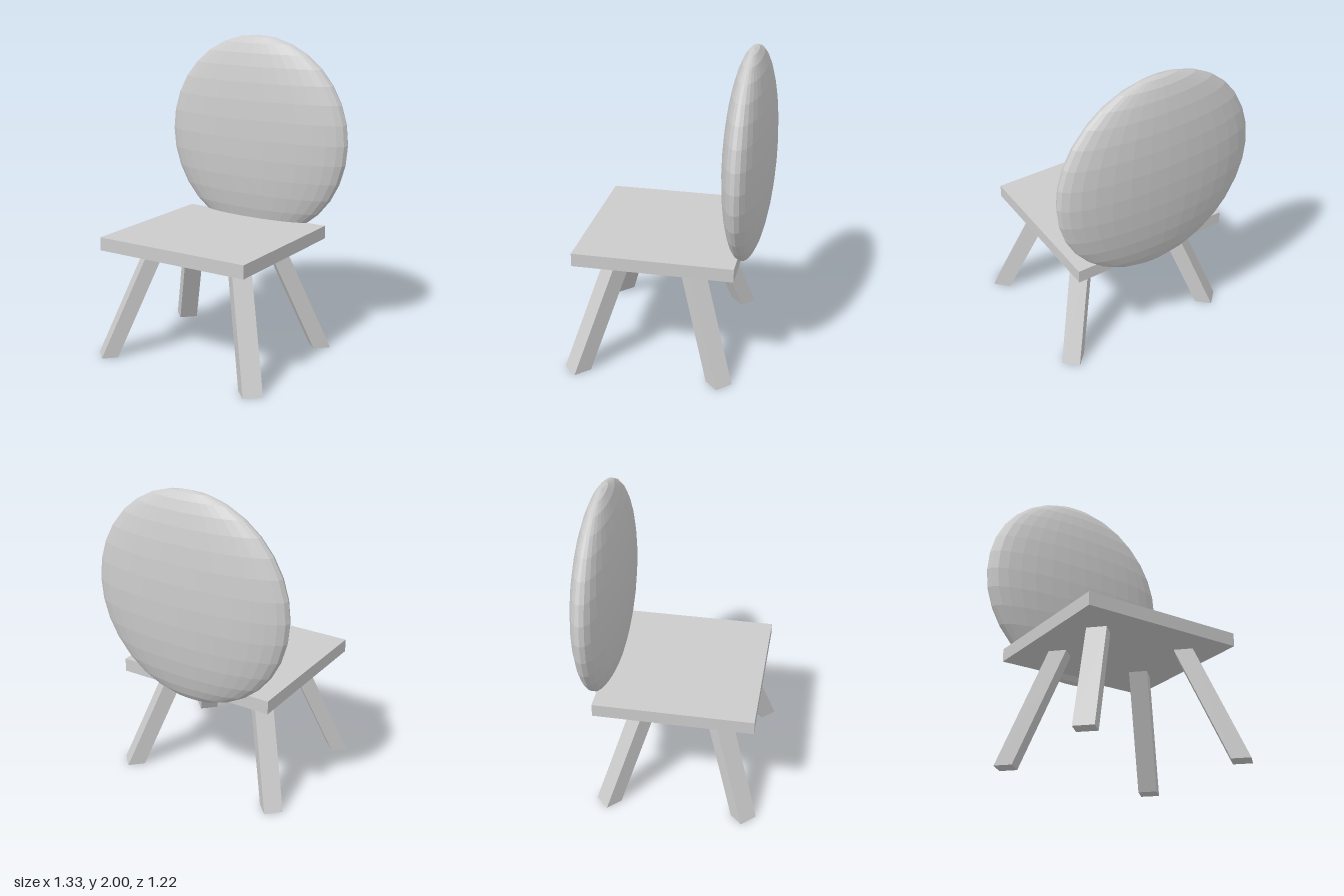
import * as THREE from 'three';

const material = new THREE.MeshStandardMaterial({ color: 0xcccccc, flatShading: true });

const SEAT_BOTTOM = 0.71;
const LEG_HEIGHT = 0.73;
const LEAN = 0.318 / SEAT_BOTTOM; // outward run per unit of height

function part(name, geometry, x, y, z) {
  const mesh = new THREE.Mesh(geometry, material);
  mesh.name = name;
  mesh.position.set(x, y, z);
  return mesh;
}

// Diagonal leg with level ends, sheared inward towards the seat
function makeLeg(name, x, z, width, depth) {
  const geometry = new THREE.BoxGeometry(width, LEG_HEIGHT, depth);
  geometry.translate(0, LEG_HEIGHT / 2, 0);
  const p = geometry.attributes.position;
  for (let i = 0; i < p.count; i++) p.setZ(i, p.getZ(i) - p.getY(i) * LEAN);
  geometry.computeVertexNormals();
  const leg = part(name, geometry, x, 0, z);
  leg.rotation.y = Math.atan2(Math.sign(x), Math.sign(z));
  return leg;
}

export function createModel() {
  const chair = new THREE.Group();
  chair.name = 'chair';

  // Square slab seat
  chair.add(part('seat', new THREE.BoxGeometry(1.052, 0.085, 1.005), 0, 0.7525, 0.0475));

  // Round backrest: a faceted sphere flattened front to back
  const back = new THREE.SphereGeometry(0.667, 32, 16);
  back.scale(1, 1, 0.22);
  chair.add(part('backrest', back, 0, 1.333, -0.465));

  // Splayed legs, placed by the centre of each foot
  chair.add(
    makeLeg('frontLeftLeg', 0.563, 0.523, 0.122, 0.118),
    makeLeg('frontRightLeg', -0.516, 0.51, 0.124, 0.105),
    makeLeg('backLeftLeg', 0.543, -0.38, 0.118, 0.112),
    makeLeg('backRightLeg', -0.516, -0.375, 0.118, 0.112)
  );
  return chair;
}
